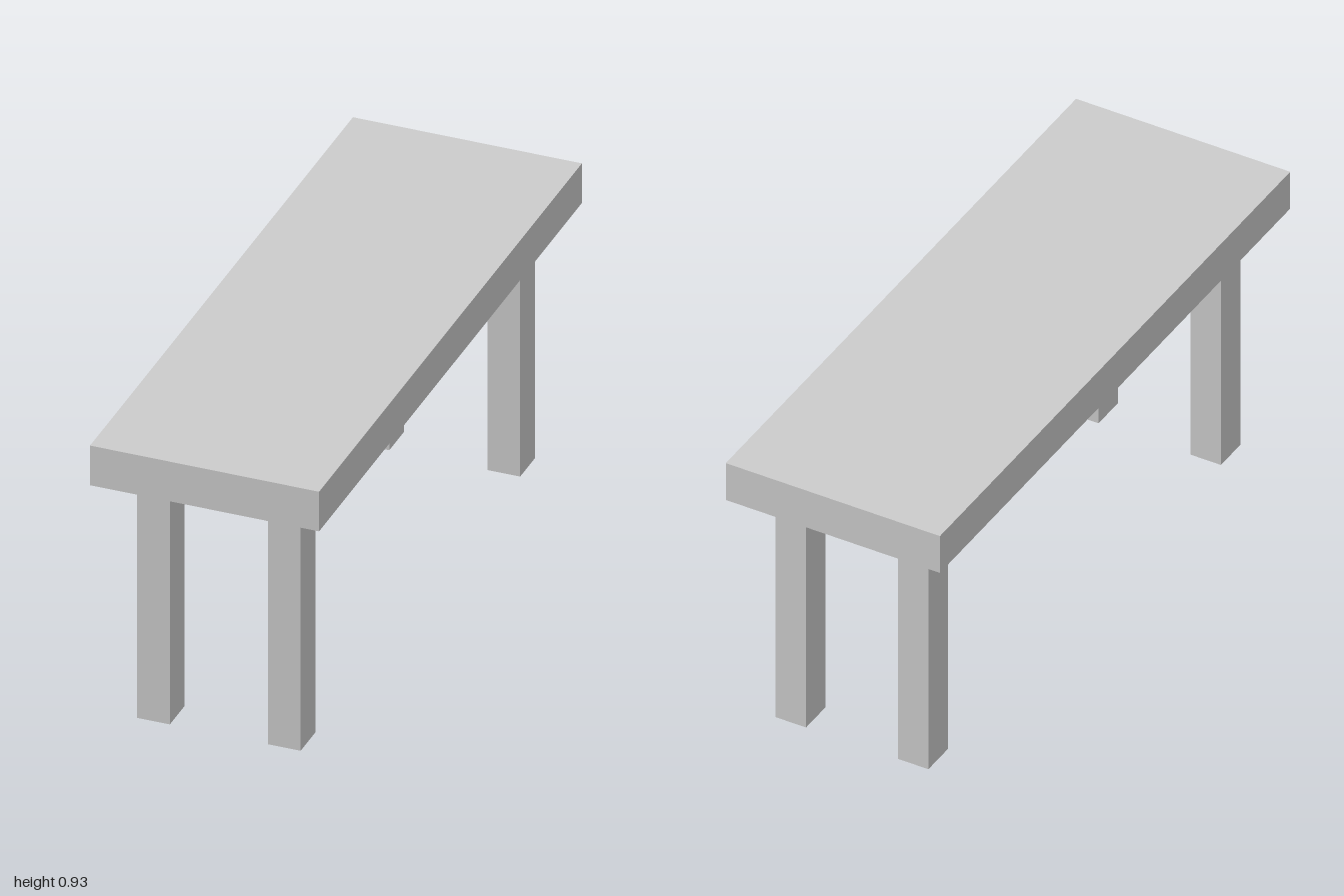
import * as THREE from 'three';

export function createModel() {
  const model = new THREE.Group();
  model.name = 'table';
  const material = new THREE.MeshStandardMaterial({ color: 0xcccccc, flatShading: true });

  const addBox = (name, size, position) => {
    const mesh = new THREE.Mesh(new THREE.BoxGeometry(...size), material);
    mesh.name = name;
    mesh.position.set(...position);
    model.add(mesh);
  };

  const legHeight = 0.8;
  const topThickness = 0.13;

  // Table top: a long slab resting on the legs
  addBox('tableTop', [0.7, topThickness, 2], [0, legHeight + topThickness / 2, 0]);

  // Four legs, mirrored left/right and front/back
  for (const [xName, x] of [['Left', 0.2], ['Right', -0.2]]) {
    for (const [zName, z] of [['front', 0.835], ['back', -0.835]]) {
      addBox(`${zName}${xName}Leg`, [0.1, legHeight, 0.112], [x, legHeight / 2, z]);
    }
  }

  return model;
}
